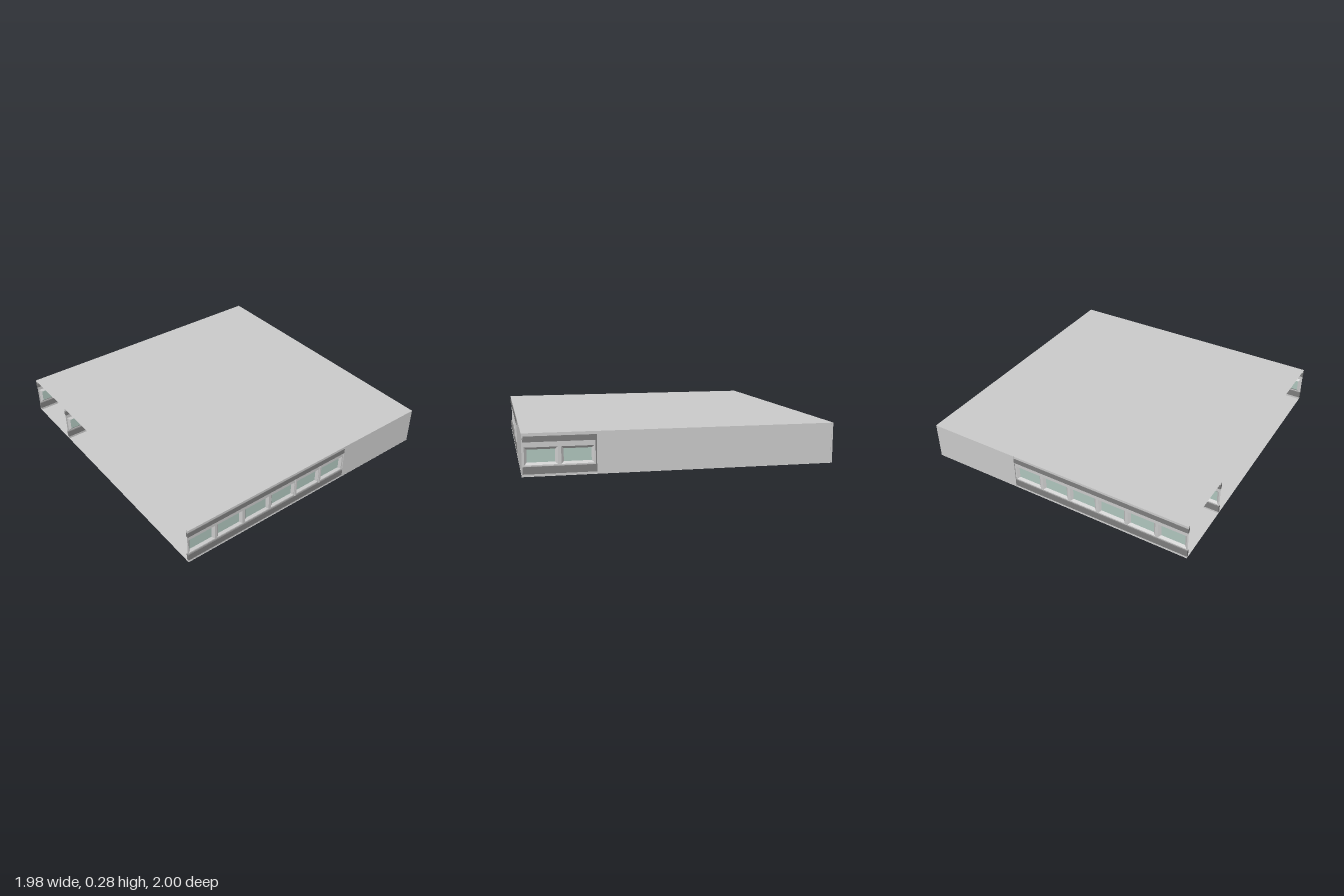
import * as THREE from 'three';

const Y0 = 0.01, Y1 = 0.275, X = 0.99, Z = 1.0, BAY = 0.217;
const mat = (color, side = THREE.FrontSide) =>
  new THREE.MeshStandardMaterial({ color, side, flatShading: true });
const grey = mat(0xcccccc), greyBoth = mat(0xcccccc, THREE.DoubleSide);
const dark = mat(0x7e7e7e), glassMat = mat(0xb0c6be, THREE.DoubleSide);

function add(parent, name, geometry, material, x = 0, y = 0, z = 0) {
  const mesh = new THREE.Mesh(geometry, material);
  mesh.name = name;
  mesh.position.set(x, y, z);
  parent.add(mesh);
  return mesh;
}

// box given by its limits
function block(parent, name, x0, x1, y0, y1, z0, z1, material = grey) {
  return add(parent, name, new THREE.BoxGeometry(x1 - x0, y1 - y0, z1 - z0), material,
    (x0 + x1) / 2, (y0 + y1) / 2, (z0 + z1) / 2);
}

// surface joining a series of rectangular rings [halfWidth, low, high, depth]
function ringSurface(rings) {
  const corners = rings.map(([w, a, b, d]) => [[-w, a, d], [w, a, d], [w, b, d], [-w, b, d]]);
  const pos = [];
  for (let r = 0; r < rings.length - 1; r++) {
    for (let i = 0; i < 4; i++) {
      const j = (i + 1) % 4;
      const a = corners[r][i], b = corners[r][j], c = corners[r + 1][j], d = corners[r + 1][i];
      pos.push(...a, ...b, ...c, ...a, ...c, ...d);
    }
  }
  const g = new THREE.BufferGeometry();
  g.setAttribute('position', new THREE.Float32BufferAttribute(pos, 3));
  g.computeVertexNormals();
  return g;
}

// row of window bays starting at x = 0, outside face at z = 0 looking to +z
function windowWall(name, bays, width = BAY) {
  const wall = new THREE.Group();
  wall.name = name;
  const length = bays * width;
  block(wall, 'bottomRail', 0, length, Y0, 0.025, -0.018, -0.003);
  block(wall, 'lowerBand', 0, length, 0.025, 0.07, -0.018, 0, dark);
  block(wall, 'upperBand', 0, length, 0.22, 0.255, -0.018, 0, dark);
  block(wall, 'topRail', 0, length, 0.255, Y1 - 0.001, -0.018, -0.003);
  const frame = ringSurface([
    [width / 2, 0.07, 0.22, -0.008],
    [width / 2 - 0.01, 0.079, 0.187, -0.008],
    [width / 2 - 0.026, 0.093, 0.172, -0.022],
  ]);
  const pane = new THREE.PlaneGeometry(width - 0.052, 0.079);
  for (let i = 0; i < bays; i++) {
    const x = (i + 0.5) * width;
    add(wall, 'windowFrame', frame, greyBoth, x);
    add(wall, 'windowPane', pane, glassMat, x, 0.1325, -0.022);
  }
  return wall;
}

// horizontal sheet of tiles; facing is 1 for up and -1 for down
function tiledSheet(name, y, facing) {
  const sheet = new THREE.Group();
  sheet.name = name;
  const xs = Array.from({ length: 10 }, (_, i) => (i < 9 ? -X + i * BAY : X));
  const zs = [-Z, ...Array.from({ length: 10 }, (_, i) => -0.98 + i * 0.2178), Z];
  for (let i = 0; i < xs.length - 1; i++) {
    for (let j = 0; j < zs.length - 1; j++) {
      const tile = new THREE.PlaneGeometry(xs[i + 1] - xs[i], zs[j + 1] - zs[j]);
      add(sheet, 'tile', tile, greyBoth, (xs[i] + xs[i + 1]) / 2, y, (zs[j] + zs[j + 1]) / 2)
        .rotation.x = -facing * Math.PI / 2;
    }
  }
  return sheet;
}

export function createModel() {
  const model = new THREE.Group();
  model.name = 'buildingStorey';

  // roof and floor
  model.add(tiledSheet('roof', Y1, 1), tiledSheet('floor', Y0, -1));

  // front and back: six bays, then plain wall
  const split = -X + 6 * BAY;
  const front = windowWall('frontWindows', 6);
  front.position.set(-X, 0, Z);
  const back = windowWall('backWindows', 6);
  back.position.set(split, 0, -Z);
  back.rotation.y = Math.PI;
  model.add(front, back);
  block(model, 'frontWall', split, X - 0.001, Y0, Y1 - 0.001, Z - 0.012, Z - 0.001);
  block(model, 'backWall', split, X - 0.001, Y0, Y1 - 0.001, -Z + 0.001, -Z + 0.012);

  // left side: two bays at the front, plain panels behind; the other side is open
  const side = windowWall('sideWindows', 2, 0.222);
  side.position.set(X - 0.001, 0, Z - 0.006);
  side.rotation.y = Math.PI / 2;
  model.add(side);
  const joints = [0.55, 0.33, 0.11, -0.11, -Z + 0.001];
  for (let i = 0; i < joints.length - 1; i++)
    block(model, 'sideWall', X - 0.014, X - 0.003, Y0, Y1 - 0.001, joints[i + 1], joints[i]);

  // joint posts between the bands of the facade
  for (const x of [-0.122, 0.095])
    block(model, 'frontJointPost', x - 0.006, x + 0.006, 0.07, 0.22, Z - 0.018, Z);
  block(model, 'sideJointPost', X - 0.014, X, 0.025, 0.255, 0.546, 0.553, dark);

  // glazed inner wall next to the open side
  const inner = windowWall('innerWindows', 4);
  inner.position.set(-0.122, 0, -0.545);
  inner.rotation.y = Math.PI;
  model.add(inner);

  // room partitions: [x0, x1, z0, z1]
  const t = 0.006;
  for (const [x0, x1, z0, z1] of [
    [-0.12, 0.53, -0.54, -0.54], [-0.12, -0.12, -0.54, 0.975],
    [0.53, 0.53, -0.54, 0.76], [0.53, 0.97, 0.545, 0.545],
    [0.1, 0.53, 0.76, 0.76], [0.1, 0.1, 0.76, 0.975],
  ]) block(model, 'partition', x0 - t, x1 + t, Y0 + 0.001, Y1 - 0.002, z0 - t, z1 + t);

  // threshold strip below the floor
  block(model, 'threshold', 0.09, 0.315, 0, Y0 + 0.002, -0.55, -0.505);

  return model;
}
